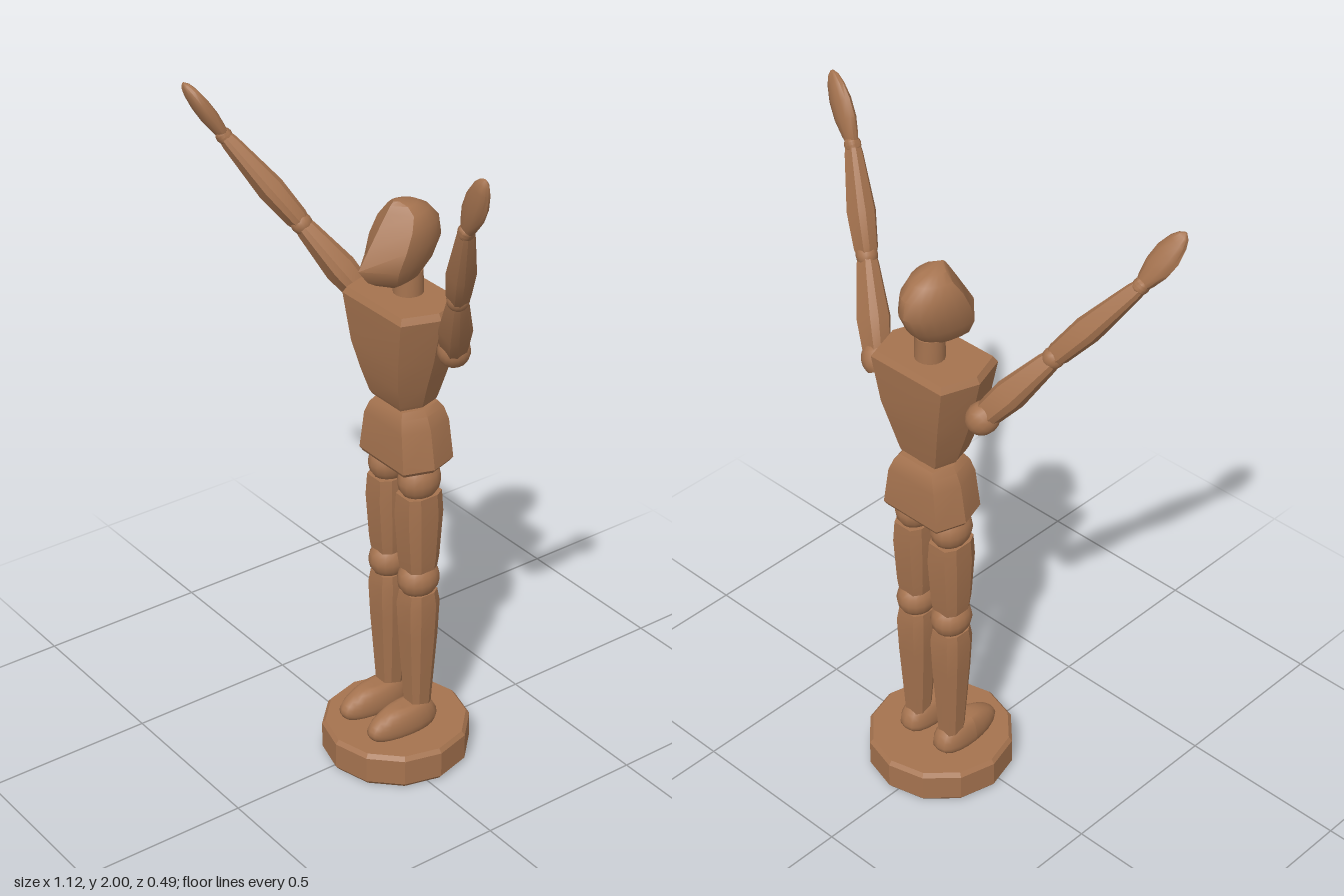
import * as THREE from 'three';
import { toCreasedNormals } from 'three/addons/utils/BufferGeometryUtils.js';

const CX = 0.013, CZ = -0.068; // body axis

// Skin a stack of horizontal rings (equal point counts, bottom to top) and cap the ends
function loft(rings, crease = 0.5) {
  const n = rings[0].length, pos = [], idx = [];
  rings.forEach(r => r.forEach(p => pos.push(...p)));
  for (let k = 0; k < rings.length - 1; k++) {
    for (let i = 0; i < n; i++) {
      const a = k * n + i, b = k * n + (i + 1) % n;
      idx.push(a, a + n, b, b, a + n, b + n);
    }
  }
  [rings[0], rings[rings.length - 1]].forEach((r, top) => {
    const c = pos.length / 3, start = top ? (rings.length - 1) * n : 0;
    pos.push(...[0, 1, 2].map(d => r.reduce((s, p) => s + p[d], 0) / n));
    for (let i = 0; i < n; i++) {
      const a = start + i, b = start + (i + 1) % n;
      idx.push(c, top ? b : a, top ? a : b);
    }
  });
  const g = new THREE.BufferGeometry();
  g.setAttribute('position', new THREE.Float32BufferAttribute(pos, 3));
  g.setIndex(idx);
  return toCreasedNormals(g, crease);
}

// Scale one outline through levels of [y, half width x, half depth z, z offset]
const stack = (outline, levels, crease) => loft(levels.map(([y, sx, sz = sx, dz = 0]) =>
  outline.map(([x, z]) => [x * sx, y, z * sz + dz])), crease);

const polygon = n => Array.from({ length: n }, (_, i) => {
  const a = (i / n) * Math.PI * 2;
  return [Math.cos(a), Math.sin(a)];
});
const HEX = [[1, 0], [0.78, 1], [-0.78, 1], [-1, 0], [-0.78, -1], [0.78, -1]];
const OCT = [[1, 0.45], [0.65, 0.9], [-0.65, 0.9], [-1, 0.45],
  [-1, -0.45], [-0.65, -0.9], [0.65, -0.9], [1, -0.45]];

// Rounded joint with flat top and bottom
const barrel = (r, h) => stack(polygon(16), [-1, -0.85, -0.5, 0, 0.5, 0.85, 1].map(t =>
  [t * h / 2, r * Math.sqrt(1 - 0.6 * t * t)]), 0.8);

// Wedge-faced head: central ridge, two cheeks and a round back
function headGeometry() {
  const levels = [ // y, half width, ridge z, cheek z, back z
    [1.49, 0.04, 0.03, 0, -0.09], [1.505, 0.06, 0.055, 0.005, -0.11],
    [1.545, 0.075, 0.085, 0.01, -0.148], [1.6, 0.081, 0.05, -0.01, -0.174],
    [1.65, 0.075, 0.018, -0.033, -0.166], [1.685, 0.056, -0.005, -0.052, -0.135],
    [1.704, 0.033, -0.018, -0.05, -0.1], [1.714, 0.008, -0.028, -0.04, -0.055]];
  return loft(levels.map(([y, w, zf, zc, zb]) => {
    const ring = [[w, y, zc], [0, y, zf]];
    for (let i = 0; i < 12; i++) {
      const t = (i / 12) * Math.PI;
      ring.push([-w * Math.cos(t), y, zc - (zc - zb) * Math.sin(t)]);
    }
    return ring;
  }), 0.7);
}

// Foot: ellipsoid with flat sole, tall heel and tapering toe
function footGeometry() {
  const g = new THREE.SphereGeometry(1, 20, 14);
  const p = g.attributes.position;
  const soft = v => Math.sign(v) * Math.pow(Math.abs(v), 0.75);
  for (let i = 0; i < p.count; i++) {
    const z = p.getZ(i), y = p.getY(i);
    const high = 0.066 - 0.016 * z;
    p.setXYZ(i, soft(p.getX(i)) * (0.048 - 0.006 * z),
      y > 0 ? 0.125 + y * high : 0.125 + Math.max(y * 0.05, -0.025), z * 0.115 - 0.01);
    if (p.getY(i) > 0.182) p.setY(i, 0.182);
  }
  g.computeVertexNormals();
  return g;
}

export function createModel() {
  const root = new THREE.Group();
  root.name = 'woodenMannequin';
  const wood = new THREE.MeshStandardMaterial({ color: 0xa5734f });
  wood.name = 'wood';

  const add = (name, geometry, x = 0, y = 0, z = 0) => {
    const m = new THREE.Mesh(geometry, wood);
    m.name = name;
    m.position.set(x, y, z);
    root.add(m);
    return m;
  };
  // Place a y-up part at one point, aimed along a direction
  const aim = (mesh, dir) => {
    mesh.quaternion.setFromUnitVectors(new THREE.Vector3(0, 1, 0), dir);
    return mesh;
  };

  // Stand
  add('base', stack(polygon(12), [[0, 0.203], [0.012, 0.213], [0.09, 0.213], [0.102, 0.203]], 0.3),
    0.022, 0, -0.035);

  // Trunk
  add('pelvis', stack(HEX, [[0.945, 0.118, 0.078], [0.957, 0.127, 0.085], [1.07, 0.108, 0.08],
    [1.105, 0.092, 0.072], [1.123, 0.078, 0.06]], 0.45), CX, 0, -0.074);
  add('waist', stack(polygon(16), [[1.11, 0.06, 0.05], [1.15, 0.06, 0.05]]), CX, 0, -0.07);
  add('torso', stack(HEX, [[1.132, 0.08, 0.06], [1.145, 0.086, 0.065, 0.002], [1.21, 0.107, 0.08, 0.004],
    [1.29, 0.133, 0.096, 0.004], [1.425, 0.163, 0.106, 0.004], [1.443, 0.152, 0.096, 0.004]], 0.4),
    CX, 0, -0.066);
  add('neck', stack(polygon(16), [[1.43, 0.042], [1.51, 0.04]]), CX, 0, -0.078);
  add('head', headGeometry(), CX, 0, 0);

  // Legs
  for (const s of [-1, 1]) {
    const side = s > 0 ? 'left' : 'right', x = CX + s * 0.066;
    add(side + 'Foot', footGeometry(), x + 0.002, 0, 0);
    add(side + 'Shin', stack(OCT, [[0.165, 0.031, 0.036], [0.2, 0.033, 0.038], [0.4, 0.045, 0.052],
      [0.51, 0.049, 0.057], [0.55, 0.044, 0.05]], 0.4), x, 0, CZ);
    add(side + 'Knee', barrel(0.055, 0.088), x, 0.588, CZ).scale.z = 1.15;
    add(side + 'Thigh', stack(OCT, [[0.625, 0.042, 0.05], [0.66, 0.046, 0.055], [0.8, 0.05, 0.066],
      [0.865, 0.046, 0.062]], 0.4), x, 0, CZ);
    add(side + 'Hip', barrel(0.054, 0.094), x, 0.905, CZ).scale.z = 1.2;
  }

  // Raised arms, jointed through shoulder, elbow, wrist and fingertip
  const arms = {
    left: [[0.204, 1.345, -0.082], [0.33, 1.57, 0.008], [0.452, 1.825, 0.083], [0.546, 2, 0.105]],
    right: [[-0.18, 1.345, -0.082], [-0.318, 1.545, 0.03], [-0.483, 1.775, 0.16], [-0.55, 1.922, 0.24]],
  };
  const limb = (r0, r1, r2) => len => stack(OCT, [[0, r0 * 0.8], [0.06 * len, r0], [0.4 * len, r1],
    [0.92 * len, r2], [len, r2 * 0.8]], 0.4);
  const hand = len => stack(polygon(12), [[0, 0.018, 0.014], [0.12, 0.027, 0.017], [0.35, 0.038, 0.021],
    [0.6, 0.039, 0.02], [0.82, 0.029, 0.016], [0.94, 0.017, 0.011], [1, 0.004, 0.003]]
    .map(([t, a, b]) => [t * len, a, b]), 0.9);
  for (const [side, path] of Object.entries(arms)) {
    const pts = path.map(p => new THREE.Vector3(...p));
    [['UpperArm', limb(0.034, 0.041, 0.027)], ['Forearm', limb(0.029, 0.035, 0.022)], ['Hand', hand]]
      .forEach(([part, make], i) => {
        const dir = pts[i + 1].clone().sub(pts[i]), len = dir.length();
        dir.normalize();
        aim(add(side + part, make(len), ...path[i]), dir);
        const joint = [['Shoulder', 0.045, 0.075], ['Elbow', 0.03, 0.05], ['Wrist', 0.023, 0.036]][i];
        aim(add(side + joint[0], barrel(joint[1], joint[2]), ...path[i]), dir);
      });
  }
  return root;
}
